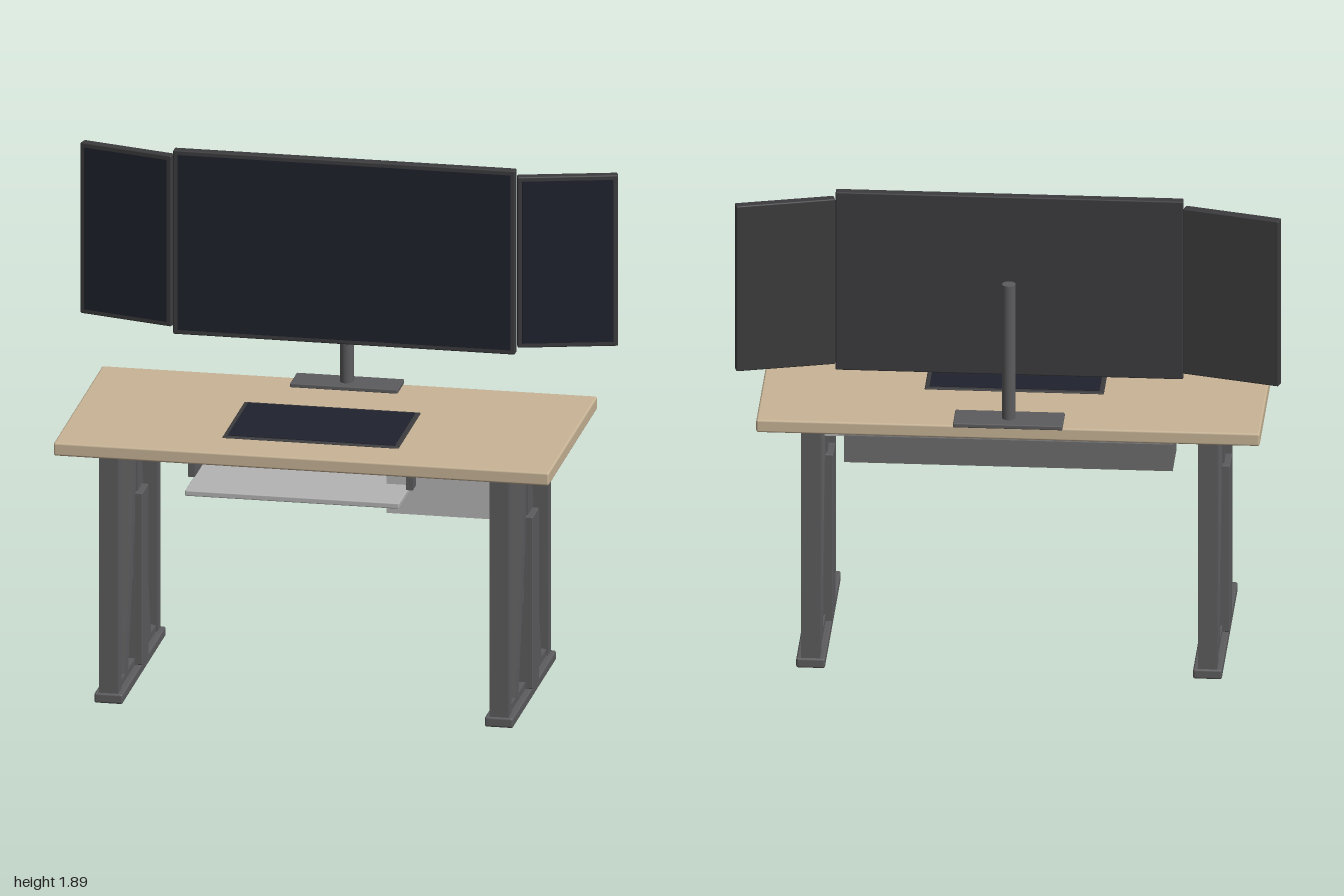
import * as THREE from 'three';
import { RoundedBoxGeometry } from 'three/addons/geometries/RoundedBoxGeometry.js';

const mat = (color) => new THREE.MeshStandardMaterial({ color });
const wood = mat(0xc8b496), steel = mat(0x5c5c5e), casing = mat(0x3c3c3e);
const glass = mat(0x1f222d), lightGrey = mat(0xb4b4b4), trayGrey = mat(0x6c6c6c);

// Box given by its [min, max] extents on each axis; optional rounded edges
function box(parent, name, material, [x0, x1], [y0, y1], [z0, z1], radius = 0) {
  const size = [x1 - x0, y1 - y0, z1 - z0];
  const geometry = radius ? new RoundedBoxGeometry(...size, 2, radius) : new THREE.BoxGeometry(...size);
  const mesh = new THREE.Mesh(geometry, material);
  mesh.name = name;
  mesh.position.set((x0 + x1) / 2, (y0 + y1) / 2, (z0 + z1) / 2);
  parent.add(mesh);
  return mesh;
}

// Display centred on its own origin, screen facing +z
function display(name, w, h, depth) {
  const group = new THREE.Group();
  group.name = name;
  const b = 0.017;
  box(group, 'casing', casing, [-w / 2, w / 2], [-h / 2, h / 2], [-depth / 2, depth / 2], 0.005);
  box(group, 'screen', glass, [-w / 2 + b, w / 2 - b], [-h / 2 + b, h / 2 - b], [depth / 2 - 0.004, depth / 2 + 0.002]);
  return group;
}

// Leg assembly centred on x = 0
function legFrame(name) {
  const leg = new THREE.Group();
  leg.name = name;
  const mid = -0.065, wide = [-0.035, 0.035];
  box(leg, 'foot', steel, [-0.053, 0.053], [0.012, 0.05], [-0.475, 0.345], 0.008);
  box(leg, 'lowerRail', steel, [-0.03, 0.03], [0.045, 0.075], [-0.41, 0.28]);
  box(leg, 'frontPost', steel, wide, [0.045, 0.967], [0.275, 0.337]);
  box(leg, 'backPost', steel, wide, [0.045, 0.967], [-0.468, -0.405]);
  box(leg, 'columnSleeve', steel, [-0.058, 0.058], [0.05, 0.71], [mid - 0.058, mid + 0.058], 0.004);
  box(leg, 'innerColumn', steel, wide, [0.7, 0.967], [mid - 0.035, mid + 0.035]);
  box(leg, 'crossPiece', steel, [-0.025, 0.025], [0.385, 0.435], [mid - 0.11, mid + 0.11]);
  // Slanted braces meeting under the top
  for (const side of [1, -1]) {
    const dz = -0.227, dy = 0.953;
    const brace = new THREE.Mesh(new THREE.BoxGeometry(0.06, Math.hypot(dz, dy), 0.06), steel);
    brace.name = side > 0 ? 'frontBrace' : 'backBrace';
    brace.position.set(0, 0.007 + dy / 2, mid + side * 0.119);
    brace.rotation.x = side * Math.atan2(dz, dy);
    leg.add(brace);
  }
  return leg;
}

export function createModel() {
  const desk = new THREE.Group();
  desk.name = 'computerDesk';

  box(desk, 'deskTop', wood, [-0.92, 0.92], [0.965, 1.015], [-0.53, 0.39], 0.008);

  // Legs and side displays, one per side
  for (const side of [1, -1]) {
    const label = side > 0 ? 'left' : 'right';
    const leg = legFrame(label + 'Leg');
    leg.position.x = side * 0.725;
    desk.add(leg);

    const wing = display(label + 'Display', 0.368, 0.655, 0.036);
    wing.position.set(side * 0.817, 1.5425, -0.49);
    wing.rotation.y = side * 0.26;
    desk.add(wing);

    box(desk, label + 'TrayRail', steel, side > 0 ? [0.39, 0.415] : [-0.42, -0.395], [0.917, 0.967], [0, 0.39]);
  }

  // Main display and stand
  const main = display('mainDisplay', 1.27, 0.705, 0.036);
  main.position.set(0, 1.5425, -0.437);
  desk.add(main);
  box(desk, 'standBase', steel, [-0.2, 0.2], [1.013, 1.03], [-0.545, -0.415], 0.004);
  const pole = new THREE.Mesh(new THREE.CylinderGeometry(0.025, 0.025, 0.54, 24), steel);
  pole.name = 'standPole';
  pole.position.set(0, 1.29, -0.478);
  desk.add(pole);

  // Flat panel lying on the top
  const panel = display('deskPanel', 0.655, 0.42, 0.014);
  panel.rotation.x = -Math.PI / 2;
  panel.position.set(0, 1.013, 0.005);
  desk.add(panel);

  // Parts under the top
  box(desk, 'keyboardTray', lightGrey, [-0.4, 0.395], [0.896, 0.917], [0.06, 0.55], 0.004);
  box(desk, 'drawer', lightGrey, [0.305, 0.695], [0.805, 0.967], [-0.17, 0.33]);
  box(desk, 'crossBeam', steel, [-0.7, 0.7], [0.897, 0.967], [-0.277, -0.2]);
  box(desk, 'cableTray', trayGrey, [-0.6, 0.6], [0.845, 0.95], [-0.5, -0.315]);

  return desk;
}
